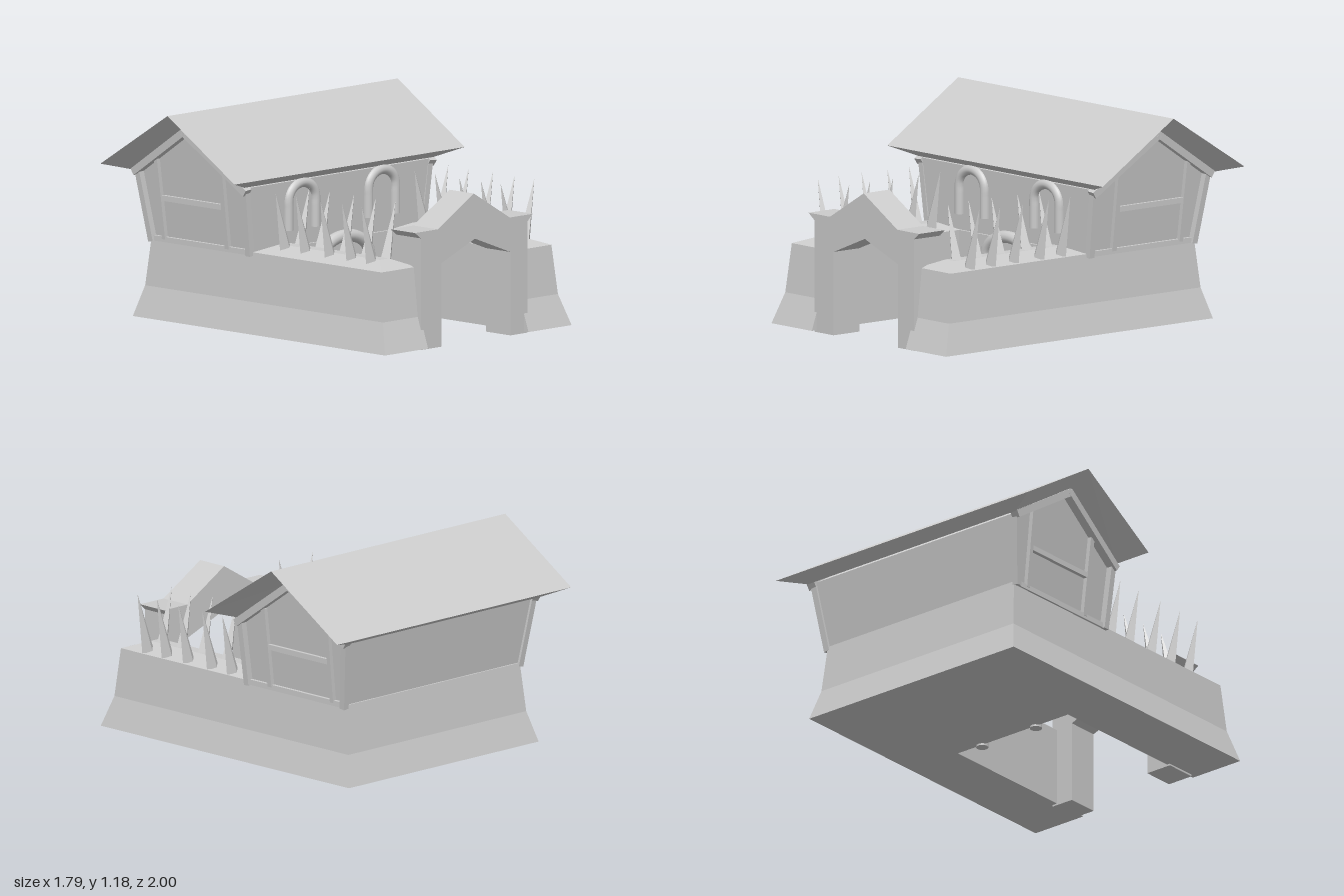
import * as THREE from 'three';

const material = new THREE.MeshStandardMaterial({ color: 0xcccccc, flatShading: true });
const smooth = new THREE.MeshStandardMaterial({ color: 0xcccccc });

function add(parent, name, geometry, mat = material) {
  const mesh = new THREE.Mesh(geometry, mat);
  mesh.name = name;
  parent.add(mesh);
  return mesh;
}

// Skin between matching rings of points, capped at both ends.
// Rings run counter-clockwise seen from the side of the last ring;
// flat2d picks the two coordinates in which the caps are triangulated.
function loft(rings, flat2d) {
  const pos = [];
  const tri = (a, b, c) => pos.push(...a, ...b, ...c);
  const n = rings[0].length;
  for (let r = 0; r + 1 < rings.length; r++) {
    for (let i = 0; i < n; i++) {
      const j = (i + 1) % n, lo = rings[r], hi = rings[r + 1];
      tri(lo[i], lo[j], hi[j]);
      tri(lo[i], hi[j], hi[i]);
    }
  }
  const last = rings[rings.length - 1];
  const faces = THREE.ShapeUtils.triangulateShape(last.map((p) => new THREE.Vector2(...flat2d(p))), []);
  for (const [a, b, c] of faces) {
    tri(last[a], last[b], last[c]);
    tri(rings[0][a], rings[0][c], rings[0][b]);
  }
  const g = new THREE.BufferGeometry();
  g.setAttribute('position', new THREE.Float32BufferAttribute(pos, 3));
  g.computeVertexNormals();
  return g;
}
const fromAbove = ([x, , z]) => [x, -z];
const fromSide = ([, y, z]) => [-z, y];

// Rectangle at height y, counter-clockwise from above
const rect = (x0, x1, z0, z1, y) => [[x0, y, z1], [x1, y, z1], [x1, y, z0], [x0, y, z0]];

// Box running from a to b
function beam(parent, name, a, b, width, depth) {
  const from = new THREE.Vector3(...a), to = new THREE.Vector3(...b);
  const mesh = add(parent, name, new THREE.BoxGeometry(depth, from.distanceTo(to), width));
  mesh.position.copy(from).lerp(to, 0.5);
  mesh.quaternion.setFromUnitVectors(new THREE.Vector3(0, 1, 0), to.sub(from).normalize());
}

// Round moulding with two legs and a curved head
function archTube(parent, name, cx, half, bottom, spring, top, z, radius) {
  const pts = [];
  for (let i = 0; i <= 4; i++) pts.push(new THREE.Vector3(cx - half, bottom + (spring - bottom) * i / 4, z));
  for (let i = 1; i < 10; i++) {
    const t = Math.PI * (1 - i / 10);
    pts.push(new THREE.Vector3(cx + half * Math.cos(t), spring + (top - spring) * Math.sin(t), z));
  }
  for (let i = 4; i >= 0; i--) pts.push(new THREE.Vector3(cx + half, bottom + (spring - bottom) * i / 4, z));
  const path = new THREE.CatmullRomCurve3(pts);
  add(parent, name, new THREE.TubeGeometry(path, 48, radius, 12), smooth);
  for (const s of [-1, 1]) {
    const cap = add(parent, name + 'End', new THREE.CircleGeometry(radius, 12));
    cap.position.set(cx + s * half, bottom, z);
    cap.rotation.x = Math.PI / 2;
  }
}

export function createModel() {
  const model = new THREE.Group();
  model.name = 'fortifiedHouse';

  // U-shaped battered base: two wall arms and the block under the house
  const inner = 0.39, court = -0.06;
  const uRing = (y, x, front, back) => [
    [-x, y, front], [-inner, y, front], [-inner, y, court], [inner, y, court],
    [inner, y, front], [x, y, front], [x, y, back], [-x, y, back],
  ];
  add(model, 'base', loft([
    uRing(0.01, 0.725, 1.0, -0.92),
    uRing(0.18, 0.68, 0.94, -0.87),
    uRing(0.45, 0.66, 0.91, -0.84),
  ], fromAbove));

  // Hipped copings and paired spikes on both arms
  for (const s of [-1, 1]) {
    const span = (a, b) => (s > 0 ? [a, b] : [-b, -a]);
    add(model, 'wallCoping', loft([
      rect(...span(inner, 0.66), -0.07, 0.91, 0.45),
      rect(...span(0.48, 0.55), 0.03, 0.79, 0.493),
    ], fromAbove));

    const centre = s > 0 ? 0.57 : -0.51;
    for (const z of [0.74, 0.59, 0.425, 0.24, 0.085]) {
      for (const lean of [-1, 1]) {
        const bx = centre + lean * 0.05, tip = [centre + lean * 0.13, 0.787, z];
        const base = [[bx - 0.045, 0.455, z], [bx, 0.455, z + 0.036], [bx + 0.045, 0.455, z], [bx, 0.455, z - 0.036]];
        add(model, 'spike', loft([base, base.map((p) => p.map((v, k) => tip[k] + (v - [bx, 0.455, z][k]) * 0.02))], fromAbove));
      }
    }
  }

  // Gateway with a peaked cap
  const gate = new THREE.Shape([
    [-0.41, 0], [-0.25, 0], [-0.25, 0.46], [0.01, 0.565], [0.285, 0.46], [0.285, 0], [0.42, 0],
    [0.42, 0.615], [0.46, 0.65], [0.28, 0.65], [0, 0.815], [-0.28, 0.65], [-0.457, 0.65], [-0.41, 0.615],
  ].map((p) => new THREE.Vector2(...p)));
  add(model, 'gateway', new THREE.ExtrudeGeometry(gate, { depth: 0.185, bevelEnabled: false })).position.z = 0.78;

  // House body, widening upwards to a gable
  const sideX = (y) => 0.65 + (y - 0.43) * 0.12;
  const gable = [[-0.075, 0.44], [-0.83, 0.44], [-0.89, 0.83], [-0.49, 1.1], [-0.06, 0.81]];
  add(model, 'houseBody', loft([-1, 1].map((s) => gable.map(([z, y]) => [s * sideX(y), y, z])), fromSide));

  // Timber frame on both gable ends: start (z, y), end (z, y), width
  const timbers = [
    ['cornerPost', -0.085, 0.43, -0.075, 0.81, 0.035],
    ['cornerPost', -0.825, 0.43, -0.885, 0.83, 0.035],
    ['innerPost', -0.255, 0.45, -0.255, 0.9, 0.03],
    ['innerPost', -0.735, 0.45, -0.745, 0.9, 0.025],
    ['sill', -0.09, 0.447, -0.82, 0.447, 0.03],
    ['rail', -0.26, 0.68, -0.74, 0.68, 0.03],
    ['rafter', -0.055, 0.785, -0.5, 1.08, 0.04],
    ['rafter', -0.905, 0.81, -0.485, 1.08, 0.04],
  ];
  for (const s of [-1, 1]) {
    for (const [name, z0, y0, z1, y1, width] of timbers) {
      const out = name === 'rafter' ? 0.025 : name === 'cornerPost' ? 0.018 : 0.006;
      const a = [s * (sideX(y0) + out), y0, z0], b = [s * (sideX(y1) + out), y1, z1];
      if (name === 'sill' || name === 'rail') {
        const bar = add(model, name, new THREE.BoxGeometry(0.03, width, z0 - z1));
        bar.position.set(a[0], y0, (z0 + z1) / 2);
      } else beam(model, name, a, b, width, name === 'rafter' ? 0.05 : 0.035);
    }
  }

  // Roof: sharp outer edges with faces sloping in to the house
  const ring = (x, ridge, front, back, fy, by, inside) => [[x, ...inside[0]], [x, ...inside[1]], [x, ...inside[2]],
    [x, by, back], [x, ridge, -0.49], [x, fy, front]];
  const under = [[0.815, -0.06], [1.09, -0.49], [0.82, -0.92]];
  const outerPts = [[0.86, 0.02], [1.18, -0.49], [0.86, -1.0]];
  const pos = [];
  const quad = (a, b, c, d) => pos.push(...a, ...b, ...c, ...a, ...c, ...d);
  const X = 0.895, x = 0.735;
  const at = (px, p) => [px, ...p];
  for (let i = 0; i < 2; i++) {
    const o = outerPts[i], p = outerPts[i + 1], u = under[i], v = under[i + 1];
    quad(at(-X, o), at(X, o), at(X, p), at(-X, p)); // slope
    quad(at(-x, v), at(x, v), at(x, u), at(-x, u)); // soffit
    quad(at(X, o), at(x, u), at(x, v), at(X, p)); // gable ends
    quad(at(-X, p), at(-x, v), at(-x, u), at(-X, o));
  }
  quad(at(-x, under[0]), at(x, under[0]), at(X, outerPts[0]), at(-X, outerPts[0])); // eaves
  quad(at(-X, outerPts[2]), at(X, outerPts[2]), at(x, under[2]), at(-x, under[2]));
  const roof = new THREE.BufferGeometry();
  roof.setAttribute('position', new THREE.Float32BufferAttribute(pos, 3));
  roof.computeVertexNormals();
  const roofMaterial = material.clone();
  roofMaterial.side = THREE.DoubleSide;
  add(model, 'roof', roof, roofMaterial);

  // Rounded surrounds of the door and two upper windows
  archTube(model, 'doorSurround', 0.035, 0.19, 0, 0.34, 0.465, -0.05, 0.034);
  for (const cx of [-0.285, 0.335]) archTube(model, 'windowSurround', cx, 0.105, 0.54, 0.7, 0.795, -0.065, 0.029);

  return model;
}
